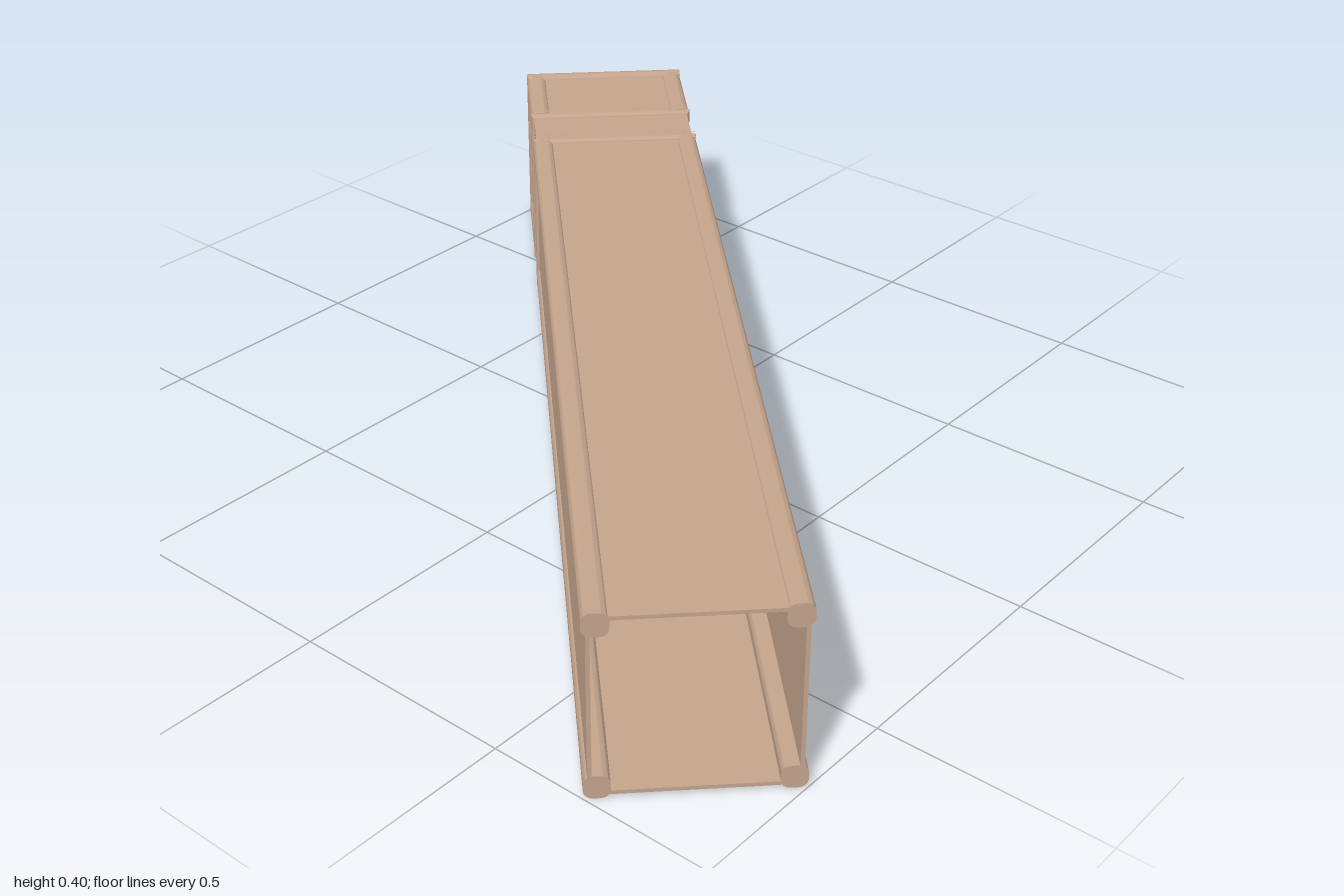
import * as THREE from 'three';
import { toCreasedNormals } from 'three/addons/utils/BufferGeometryUtils.js';

const HALF = 0.202;   // half width and height of the beam
const TRIM = 0.05;    // trim thickness
const BACK = -1.212, FRONT = 1.212;

export function createModel() {
  const model = new THREE.Group();
  const beam = new THREE.Group();
  beam.name = 'beam';
  beam.position.y = HALF;
  beam.rotation.y = Math.PI / 4; // the beam lies diagonally
  model.add(beam);

  const tan = new THREE.MeshStandardMaterial({ color: 0xc4a48c });
  tan.name = 'tan';

  const add = (name, geometry, x = 0, y = 0, z = 0) => {
    const mesh = new THREE.Mesh(geometry, tan);
    mesh.name = name;
    mesh.position.set(x, y, z);
    beam.add(mesh);
    return mesh;
  };

  // Rounded square outline, centred on (cx, cy)
  const roundedSquare = (cx, cy) => {
    const r = 0.018, h = TRIM / 2 - r, s = new THREE.Shape();
    s.absarc(cx + h, cy + h, r, 0, Math.PI / 2);
    s.absarc(cx - h, cy + h, r, Math.PI / 2, Math.PI);
    s.absarc(cx - h, cy - h, r, Math.PI, Math.PI * 1.5);
    s.absarc(cx + h, cy - h, r, Math.PI * 1.5, Math.PI * 2);
    return s;
  };

  // Sweeps a (half width, z) profile around the square beam
  const squareLathe = (points) => {
    const g = new THREE.LatheGeometry(
      points.map((p) => new THREE.Vector2(p.x * Math.SQRT2, p.y)), 4, Math.PI / 4);
    g.rotateX(Math.PI / 2);
    return toCreasedNormals(g, 0.9);
  };

  // Thin walls, open at the front
  const inset = 0.008, wall = 0.008, length = FRONT - BACK - 0.02;
  const mid = HALF - inset - wall / 2, span = 2 * (HALF - inset);
  const zMid = (FRONT + BACK + 0.02) / 2;
  for (const side of [-1, 1]) {
    add('sidePanel', new THREE.BoxGeometry(wall, span, length), side * mid, 0, zMid);
    add('flatPanel', new THREE.BoxGeometry(span, wall, length), 0, side * mid, zMid);
  }

  // Rails along the four edges of the head and of the main length
  const c = HALF - TRIM / 2;
  for (const [name, z0, z1] of [['headRail', -1.18, -0.93], ['mainRail', -0.78, FRONT]]) {
    for (const sx of [-1, 1]) for (const sy of [-1, 1]) {
      const g = new THREE.ExtrudeGeometry(roundedSquare(0, 0),
        { depth: z1 - z0, bevelEnabled: false, curveSegments: 5 });
      add(name, toCreasedNormals(g, 0.9), sx * c, sy * c, z0);
    }
  }

  // Square bands on both sides of the recessed neck
  for (const z of [-0.934, -0.778]) {
    add('neckBand', squareLathe(roundedSquare(c, 0).getPoints(5)), 0, 0, z);
  }

  // Rounded end frame around a flat square plate
  const e = BACK;
  const profile = [[0.1, e + 0.001], [0.184, e + 0.001], [0.193, e + 0.004], [0.2, e + 0.011],
    [HALF, e + 0.02], [HALF, e + 0.032], [0.2, e + 0.041], [0.193, e + 0.048], [0.184, e + TRIM]];
  add('endFrame', squareLathe(profile.map(([r, z]) => new THREE.Vector2(r, z))));
  add('endPlate', new THREE.BoxGeometry(0.2, 0.2, 0.008), 0, 0, e + 0.004);
  add('endWall', new THREE.BoxGeometry(span, span, wall), 0, 0, e + 0.025);

  return model;
}
